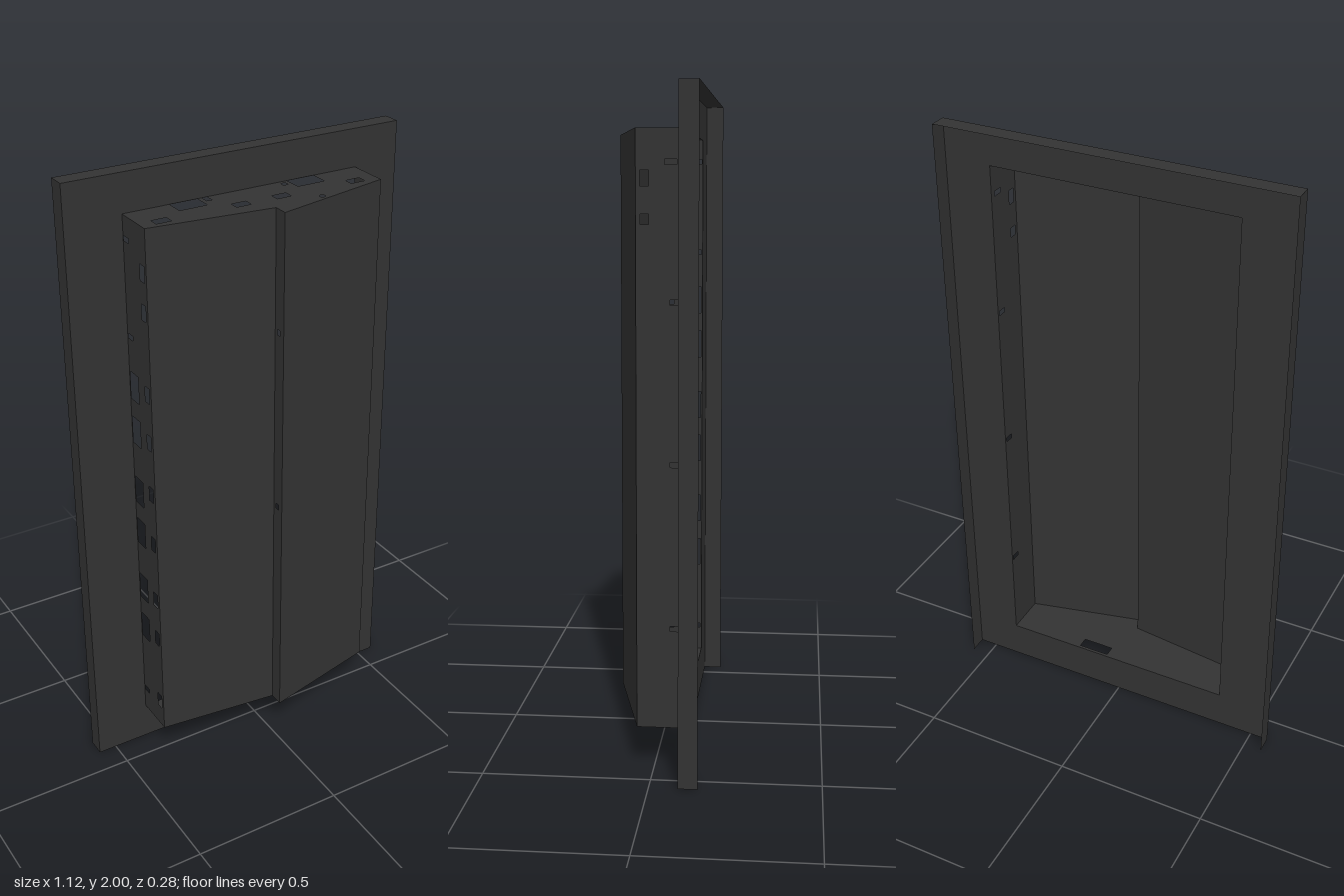
import * as THREE from 'three';

// Sheet metal cover: flanged frame with a hollow, slotted box stepped at the front
export function createModel() {
  const group = new THREE.Group();
  group.name = 'sheetMetalCover';
  const metal = new THREE.MeshStandardMaterial({ color: 0x333333, side: THREE.DoubleSide });
  metal.name = 'dark metal';

  const W = 0.56, H = 2, BACK = -0.142, FACE = -0.085;   // flange
  const L = -0.38, R = 0.41, B = 0.127, T = 1.88;        // box
  const SIDE = 0.05, STEP = 0.015, LOW = 0.095, HIGH = 0.142;

  const path = (pts) => new THREE.Path(pts.map(([a, b]) => new THREE.Vector2(a, b)));
  const rect = (a0, a1, b0, b1) => [[a0, b0], [a1, b0], [a1, b1], [a0, b1]];
  const slot = (a, b, w, h) => rect(a - w / 2, a + w / 2, b - h / 2, b + h / 2);

  // Flat sheet with cut-outs, placed in space by a mapping of its two coordinates
  function sheet(name, outline, holes, place) {
    const shape = new THREE.Shape(path(outline).getPoints());
    shape.holes = holes.map(path);
    const geo = new THREE.ShapeGeometry(shape);
    const p = geo.attributes.position;
    for (let i = 0; i < p.count; i++) p.setXYZ(i, ...place(p.getX(i), p.getY(i)));
    geo.computeVertexNormals();
    const mesh = new THREE.Mesh(geo, metal);
    mesh.name = name;
    group.add(mesh);
  }
  const atX = (x) => (z, y) => [x, y, z];
  const atY = (y) => (x, z) => [x, y, z];

  // Flange with its opening, and the lips folded back (the bottom stays open)
  sheet('flange', rect(-W, W, 0, H), [rect(L, R, B, T)], (x, y) => [x, y, FACE]);
  sheet('leftLip', rect(BACK, FACE, 0, H), [], atX(W));
  sheet('rightLip', rect(BACK, FACE, 0, H), [], atX(-W));
  sheet('topLip', rect(-W, W, BACK, FACE), [], atY(H));

  // Two sloping front panels and the step between them
  const slope = (x0, z0, x1, z1) => (x, y) => [x, y, z0 + (z1 - z0) * (x - x0) / (x1 - x0)];
  sheet('frontPanelLow', rect(L, STEP, B, T), [], slope(L, SIDE, STEP, LOW));
  sheet('frontPanelHigh', rect(STEP, R, B, T), [], slope(STEP, HIGH, R, SIDE));
  sheet('frontStep', rect(LOW, HIGH, B, T),
    [1.5, 0.9].map((y) => slot(0.115, y, 0.014, 0.018)), atX(STEP));

  // Side wall with a few slots
  sheet('slottedSide', rect(FACE, SIDE, B, T), [
    slot(0.025, 1.74, 0.025, 0.045), slot(0.025, 1.625, 0.025, 0.03),
    slot(-0.05, 1.785, 0.035, 0.015),
    ...[1.39, 0.92, 0.43].map((y) => slot(-0.063, y, 0.03, 0.015)),
  ], atX(R));

  // Opposite wall with two columns of ports
  sheet('portSide', rect(FACE, SIDE, B, T), [
    ...[1.74, 1.62, 1.36, 1.2, 1.02, 0.84, 0.63, 0.48, 0.225]
      .map((y) => slot(0.025, y, 0.026, 0.05)),
    ...[1.35, 1.2, 0.99, 0.84, 0.63, 0.475].map((y) => slot(-0.055, y, 0.05, 0.09)),
    ...[1.81, 1.51, 0.21].map((y) => slot(-0.066, y, 0.03, 0.015)),
  ], atX(L));

  // Top and bottom follow the stepped profile
  const profile = [[L, FACE], [R, FACE], [R, SIDE], [STEP, HIGH], [STEP, LOW], [L, SIDE]];
  const screwHole = Array.from({ length: 12 }, (_, i) => {
    const a = i * Math.PI / 6;
    return [0.18 + 0.009 * Math.cos(a), 0.082 + 0.009 * Math.sin(a)];
  });
  sheet('boxTop', profile, [
    rect(-0.23, -0.14, -0.083, -0.025), rect(0.165, 0.258, -0.083, -0.025),
    rect(-0.125, -0.108, -0.083, -0.055), slot(0.142, -0.063, 0.015, 0.016),
    ...[-0.312, -0.055, 0.08, 0.338].map((x) => slot(x, 0.02, 0.048, 0.03)),
    screwHole,
  ], atY(T));
  sheet('boxBottom', profile, [rect(0.05, 0.155, -0.075, -0.04)], atY(B));

  return group;
}
